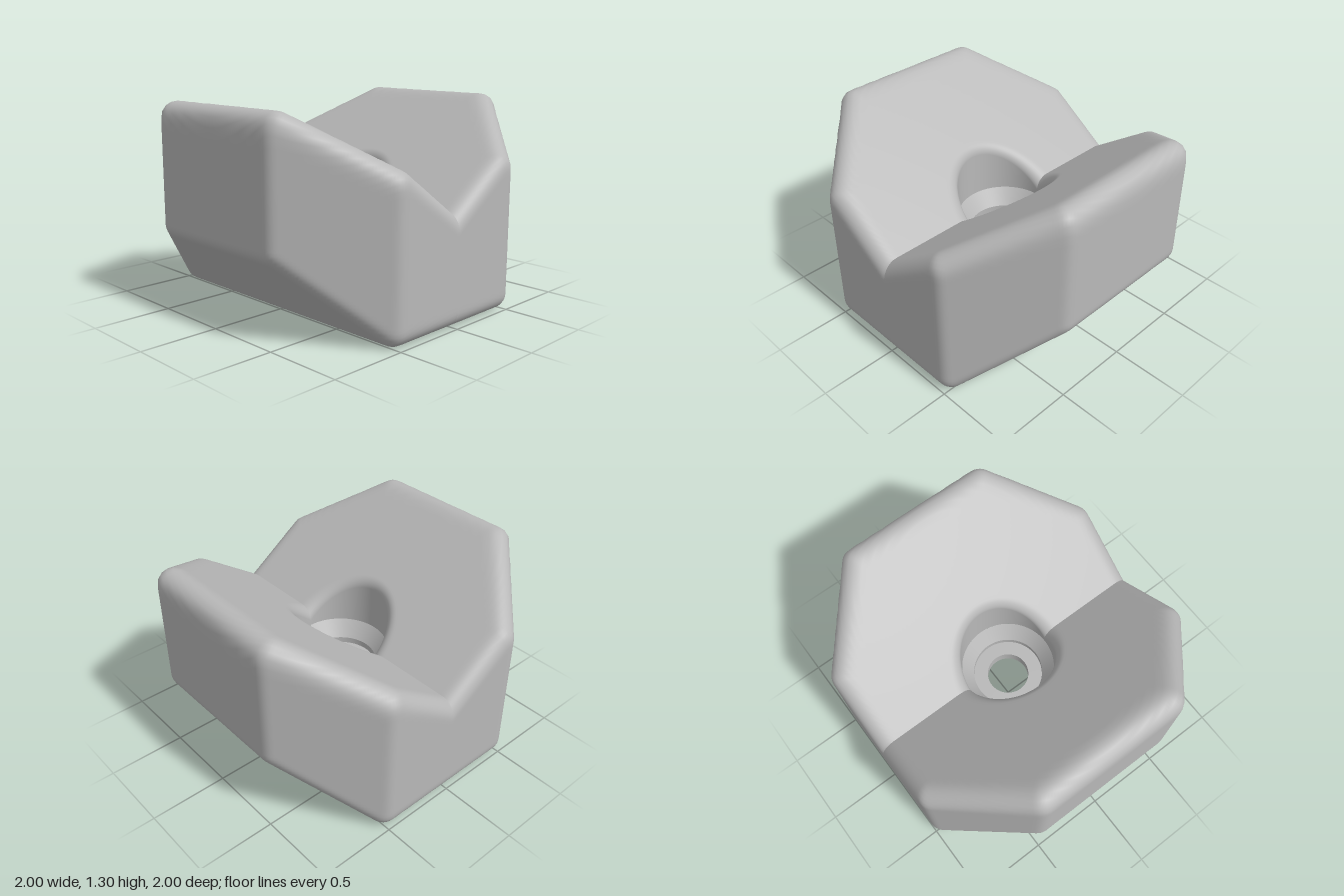
import * as THREE from 'three';
import { toCreasedNormals } from 'three/addons/utils/BufferGeometryUtils.js';

const R = 0.1;            // edge rounding
const BORE = 0.305;       // bore radius
const LIP = 0.09;         // rounding of the bore's upper lip
const VALLEY = 0.692;     // height of the groove's bottom
const SLOPE = Math.tan(THREE.MathUtils.degToRad(35));
const SEAT = 0.566;       // foot of the straight bore wall

// Planes bounding the +x half of the block: normal and distance, moved in by R
const plane = (x, y, z, d) => {
  const l = Math.hypot(x, y, z);
  return [x / l, y / l, z / l, d / l - R];
};
const PLANES = [
  plane(1, 0, 0, 1),
  plane(0, 0, 1, 1), plane(0, 0, -1, 1),          // front and back
  plane(1, 0, 1, 1.5), plane(1, 0, -1, 1.5),      // octagon corners
  plane(0, -1, 0, 0),                             // underside
  plane(1, -1, 0, 0.5),                           // lower chamfer
  plane(-SLOPE, 1, 0, VALLEY),                    // groove flank
];

// Distance to the rounded solid, by projecting onto the inset planes (Dykstra)
function distance(px, py, pz) {
  let x = px, y = py, z = pz;
  const pull = PLANES.map(() => 0);
  for (let round = 0; round < 40; round++) {
    let change = 0;
    PLANES.forEach(([a, b, c, d], k) => {
      const next = Math.max(0, a * x + b * y + c * z + pull[k] - d);
      const step = next - pull[k];
      x -= a * step; y -= b * step; z -= c * step;
      pull[k] = next;
      change += Math.abs(step);
    });
    if (change < 1e-6) break;
  }
  return Math.hypot(px - x, py - y, pz - z) - R;
}

// Section of the solid at one angle: underside, flank, groove, lip, bore wall
function section(theta, rays, arcs) {
  const cos = Math.cos(theta), sin = Math.sin(theta);
  const m = SLOPE * cos, len = Math.hypot(1, m);
  const cx = BORE + LIP, cy = VALLEY + m * cx - LIP * len;
  const lipEnd = Math.atan2(1, -m);
  const mid = [0.6, 0.4];
  const from = Math.atan2(-mid[1], BORE - mid[0]);
  const to = Math.atan2(cy + LIP * Math.sin(lipEnd) - mid[1], cx + LIP * Math.cos(lipEnd) - mid[0]);
  const pts = [[BORE, 0]];
  for (let j = 1; j < rays; j++) {
    const phi = from + (to - from) * j / rays;
    const dx = Math.cos(phi), dy = Math.sin(phi);
    let t = 0;
    for (let k = 0; k < 40; k++) {
      const rho = mid[0] + t * dx;
      const d = distance(rho * cos, mid[1] + t * dy, rho * sin);
      t -= d;
      if (Math.abs(d) < 1e-5) break;
    }
    pts.push([mid[0] + t * dx, mid[1] + t * dy]);
  }
  for (let j = 0; j <= arcs; j++) {
    const a = lipEnd + (Math.PI - lipEnd) * j / arcs;
    pts.push([cx + LIP * Math.cos(a), cy + LIP * Math.sin(a)]);
  }
  pts.push([BORE, SEAT]);
  return pts.map(([rho, y]) => [rho * cos, y, rho * sin]);
}

// Half block swept from section to section around the bore
function halfBlockGeometry(steps = 180, rays = 110, arcs = 8) {
  const pos = [], index = [];
  let n = 0;
  for (let i = 0; i <= steps; i++) {
    const pts = section(-Math.PI / 2 + Math.PI * i / steps, rays, arcs);
    n = pts.length;
    pts.forEach(p => pos.push(...p));
  }
  for (let i = 0; i < steps; i++) {
    for (let j = 0; j < n - 1; j++) {
      const a = i * n + j, b = a + 1, c = a + n, d = c + 1;
      index.push(a, b, c, b, d, c);
    }
  }
  const geo = new THREE.BufferGeometry();
  geo.setAttribute('position', new THREE.Float32BufferAttribute(pos, 3));
  geo.setIndex(index);
  geo.computeVertexNormals();
  return geo;
}

export function createModel() {
  const group = new THREE.Group();
  group.name = 'grooveBlock';
  const grey = new THREE.MeshStandardMaterial({ color: 0xb8b8b8 });
  grey.name = 'grey';

  // Two identical halves meet in the sharp valley of the groove
  const half = halfBlockGeometry();
  ['leftHalf', 'rightHalf'].forEach((name, i) => {
    const mesh = new THREE.Mesh(half, grey);
    mesh.name = name;
    mesh.rotation.y = i * Math.PI;
    group.add(mesh);
  });

  // Stepped hole: upper countersink, ledge, narrow hole, lower bore and countersink
  const profile = [
    [BORE, SEAT], [0.23, 0.46], [0.23, 0.42], [0.138, 0.42],
    [0.138, 0.34], [0.23, 0.34], [0.23, 0.12], [BORE, 0],
  ].map(([x, y]) => new THREE.Vector2(x, y));
  const hole = new THREE.Mesh(
    toCreasedNormals(new THREE.LatheGeometry(profile, 120), 0.4), grey);
  hole.name = 'steppedHole';
  group.add(hole);

  return group;
}
